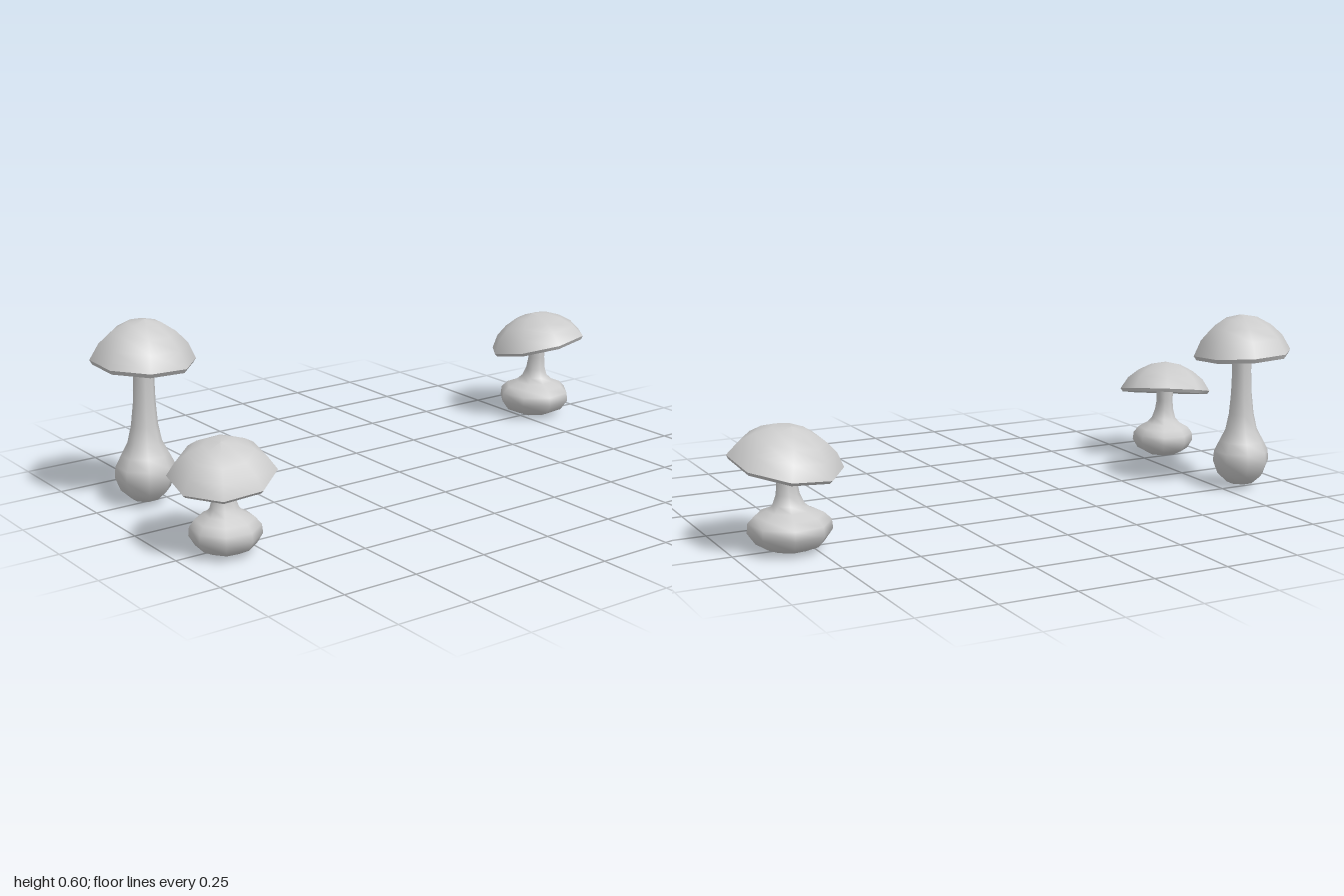
import * as THREE from 'three';

const SIDES = 8;
const material = new THREE.MeshStandardMaterial({ color: 0xcccccc });

function lathe(name, points) {
  const profile = points.map(([r, y]) => new THREE.Vector2(r, y));
  const mesh = new THREE.Mesh(new THREE.LatheGeometry(profile, SIDES), material);
  mesh.name = name;
  return mesh;
}

// Domed octagonal cap with a bevelled lip and a shallow hollow underneath
function makeCap({ radius, height, center, slope, turn }) {
  const cap = new THREE.Group();
  cap.name = 'cap';
  const dome = [[1, 0], [0.84, 0.4], [0.61, 0.69], [0.33, 0.91], [0, 1]];
  const under = [[0, 0.12], [0.4, 0.08], [0.95, -0.11]];
  const lip = [[0.95, -0.11], [1, 0]];
  const scaled = (pts) => pts.map(([r, y]) => [r * radius, y * height]);
  cap.add(
    lathe('capTop', scaled(dome)),
    lathe('capUnderside', scaled(under)),
    lathe('capLip', scaled(lip))
  );
  cap.position.set(...center);
  // tilt so the rim plane rises by the given slopes along x and z
  const normal = new THREE.Vector3(-slope[0], 1, -slope[1]).normalize();
  cap.quaternion.setFromUnitVectors(new THREE.Vector3(0, 1, 0), normal);
  cap.children.forEach((c) => { c.rotation.y = turn; });
  return cap;
}

// Bulbous foot flowing into a slim stem that leans from foot to cap
function makeStem({ profile, foot, center, turn }) {
  const stem = lathe('stem', profile);
  const geo = stem.geometry;
  geo.rotateY(turn);
  const pos = geo.attributes.position;
  for (let i = 0; i < pos.count; i++) {
    const t = THREE.MathUtils.smoothstep(pos.getY(i), 0.06, center[1]);
    pos.setX(i, pos.getX(i) + THREE.MathUtils.lerp(foot[0], center[0], t));
    pos.setZ(i, pos.getZ(i) + THREE.MathUtils.lerp(foot[1], center[2], t));
  }
  return stem;
}

const mushrooms = [
  {
    name: 'smallMushroom', radius: 0.163, height: 0.103,
    center: [-0.845, 0.247, 0.267], slope: [0.13, -0.18], turn: 0.26,
    foot: [-0.845, 0.277],
    profile: [[0, 0.005], [0.055, 0.009], [0.092, 0.028], [0.11, 0.058], [0.107, 0.085],
      [0.09, 0.107], [0.06, 0.123], [0.043, 0.142], [0.033, 0.175], [0.029, 0.21], [0.031, 0.265]],
  },
  {
    name: 'tallMushroom', radius: 0.167, height: 0.13,
    center: [-0.81, 0.471, -0.257], slope: [-0.04, -0.055], turn: 0.43,
    foot: [-0.826, -0.245],
    profile: [[0, 0.008], [0.045, 0.018], [0.08, 0.05], [0.097, 0.095], [0.094, 0.13],
      [0.076, 0.165], [0.055, 0.205], [0.043, 0.26], [0.036, 0.33], [0.033, 0.41], [0.035, 0.49]],
  },
  {
    name: 'wideMushroom', radius: 0.178, height: 0.11,
    center: [0.825, 0.275, -0.25], slope: [0.13, 0.18], turn: 0.55,
    foot: [0.818, -0.255],
    profile: [[0, 0.002], [0.06, 0.006], [0.105, 0.025], [0.13, 0.06], [0.127, 0.09],
      [0.105, 0.112], [0.068, 0.127], [0.048, 0.145], [0.036, 0.175], [0.03, 0.22], [0.033, 0.29]],
  },
];

export function createModel() {
  const model = new THREE.Group();
  model.name = 'mushrooms';
  for (const spec of mushrooms) {
    const mushroom = new THREE.Group();
    mushroom.name = spec.name;
    mushroom.add(makeStem(spec), makeCap(spec));
    model.add(mushroom);
  }
  return model;
}
